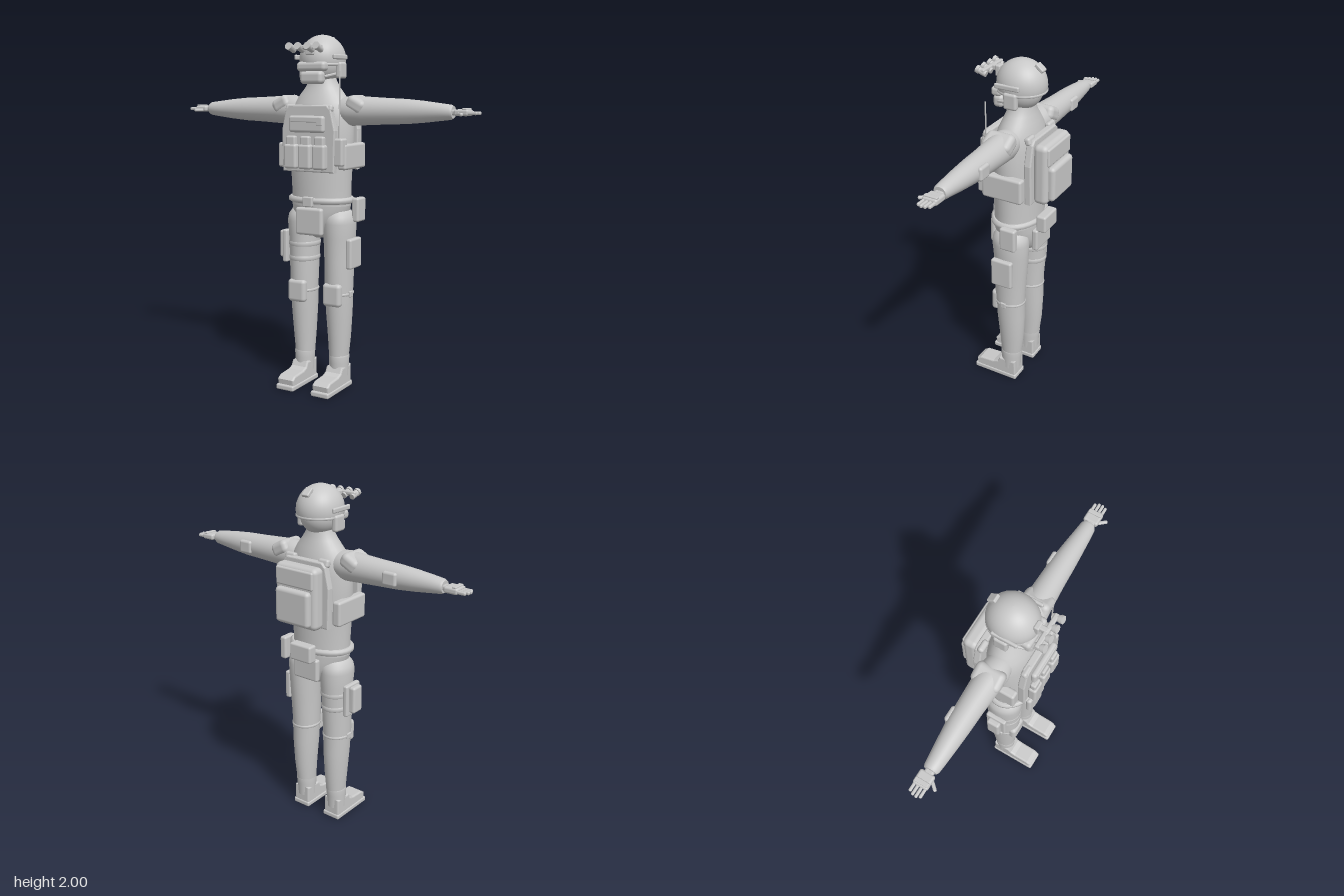
import * as THREE from 'three';
import { RoundedBoxGeometry } from 'three/addons/geometries/RoundedBoxGeometry.js';

const grey = new THREE.MeshStandardMaterial({ color: 0xc8c8c8 });
grey.name = 'plain grey';

// Closed elliptical loft; sections are [y, centreX, centreZ, radiusX, radiusZ], bottom to top
function loftGeometry(sections, sides = 32) {
  const pos = [], index = [];
  const flat = s => [s[0], s[1], s[2], 0, 0];
  const first = sections[0], last = sections[sections.length - 1];
  for (const strip of [[flat(first), first], sections, [last, flat(last)]]) {
    const base = pos.length / 3;
    strip.forEach(([y, cx, cz, rx, rz], i) => {
      for (let j = 0; j < sides; j++) {
        const a = (j / sides) * Math.PI * 2;
        pos.push(cx + rx * Math.cos(a), y, cz + rz * Math.sin(a));
        if (i === strip.length - 1) continue;
        const p = base + i * sides + j, q = base + i * sides + ((j + 1) % sides);
        index.push(p, p + sides, q, q, p + sides, q + sides);
      }
    });
  }
  const g = new THREE.BufferGeometry();
  g.setAttribute('position', new THREE.Float32BufferAttribute(pos, 3));
  g.setIndex(index);
  g.computeVertexNormals();
  return g;
}

export function createModel() {
  const model = new THREE.Group();
  const add = (name, geo, x = 0, y = 0, z = 0, rx = 0, ry = 0, rz = 0) => {
    const m = new THREE.Mesh(geo, grey);
    m.name = name;
    m.position.set(x, y, z);
    m.rotation.set(rx, ry, rz);
    model.add(m);
    return m;
  };
  const box = (name, w, h, d, x, y, z, r = 0.012, rx = 0, ry = 0, rz = 0) =>
    add(name, new RoundedBoxGeometry(w, h, d, 3, Math.min(r, w * 0.49, h * 0.49, d * 0.49)), x, y, z, rx, ry, rz);
  const loft = (name, sections) => add(name, loftGeometry(sections));
  // Rounded strap around a limb or the waist
  const band = (name, y, h, cx, cz, rx, rz, t = 0.008) => loft(name, [
    [y - h / 2, cx, cz, rx - t, rz - t], [y - h / 4, cx, cz, rx, rz],
    [y + h / 4, cx, cz, rx, rz], [y + h / 2, cx, cz, rx - t, rz - t]]);

  // Torso and pelvis
  loft('torso', [
    [1.06, 0, 0.025, 0.178, 0.13], [1.15, 0, 0.025, 0.178, 0.13], [1.27, 0, 0.025, 0.185, 0.132],
    [1.42, 0, 0.022, 0.194, 0.13], [1.53, 0, 0.02, 0.194, 0.125], [1.59, 0, 0.018, 0.183, 0.118],
    [1.63, 0, 0.015, 0.165, 0.108], [1.67, 0, 0.012, 0.138, 0.094], [1.71, 0, 0.01, 0.105, 0.08],
    [1.75, 0, 0.008, 0.08, 0.068], [1.8, 0, 0.008, 0.07, 0.064]]);
  loft('pelvis', [
    [0.87, 0, 0.02, 0.03, 0.05], [0.89, 0, 0.02, 0.07, 0.085], [0.93, 0, 0.02, 0.115, 0.112],
    [0.98, 0, 0.022, 0.15, 0.125], [1.03, 0, 0.025, 0.172, 0.13], [1.08, 0, 0.025, 0.18, 0.13]]);

  // Belt and belt pouches
  band('belt', 1.09, 0.034, 0, 0.025, 0.2, 0.147, 0.012);
  box('beltBuckle', 0.06, 0.055, 0.025, 0, 1.087, 0.173, 0.006);
  box('frontPouch', 0.172, 0.155, 0.035, 0, 0.975, 0.157, 0.016);
  box('hipPouch', 0.042, 0.135, 0.096, 0.214, 1.037, -0.022);
  box('rearPouch', 0.145, 0.1, 0.06, 0, 1.09, -0.145);
  box('rearPanel', 0.17, 0.13, 0.036, 0, 0.985, -0.113);

  // Vest plates, extruded from a tapered outline
  const outline = new THREE.Shape([
    [-0.155, 1.26], [0.155, 1.26], [0.16, 1.48], [0.135, 1.59], [0.115, 1.61],
    [-0.115, 1.61], [-0.135, 1.59], [-0.16, 1.48]].map(p => new THREE.Vector2(...p)));
  const plate = new THREE.ExtrudeGeometry(outline, {
    depth: 0.025, bevelSize: 0.008, bevelThickness: 0.008, bevelSegments: 3 });
  add('frontPlate', plate, 0, 0, 0.142);
  add('backPlate', plate, 0, 0, -0.125);

  // Chest pouches
  box('chestPouch', 0.222, 0.092, 0.035, 0.004, 1.515, 0.188, 0.016);
  box('chestPouchFlap', 0.19, 0.028, 0.01, 0.004, 1.54, 0.205, 0.004);
  box('chestPouchTab', 0.035, 0.045, 0.01, 0.09, 1.53, 0.205, 0.004);
  for (const x of [-0.09, 0, 0.09]) {
    box('magazinePouch', 0.078, 0.135, 0.05, x, 1.338, 0.197, 0.014);
    box('magazine', 0.058, 0.08, 0.035, x, 1.41, 0.196, 0.01);
  }
  box('radioPouch', 0.058, 0.15, 0.065, 0.182, 1.365, 0.137);
  add('antenna', new THREE.CylinderGeometry(0.004, 0.004, 0.37, 10), 0.174, 1.615, 0.13);

  // Backpack
  box('backpack', 0.28, 0.345, 0.085, 0, 1.427, -0.17, 0.03);
  box('backpackPocket', 0.23, 0.2, 0.05, 0, 1.375, -0.22, 0.022);
  box('backpackFlap', 0.25, 0.1, 0.024, 0, 1.533, -0.208, 0.01);

  // Helmet, head and face gear
  const head = add('head', new THREE.SphereGeometry(1, 32, 24), 0, 1.835, 0.008);
  head.scale.set(0.107, 0.105, 0.112);
  const dome = [];
  for (let i = 0; i <= 16; i++) {
    const a = -0.25 + (i / 16) * (Math.PI / 2 + 0.249);
    dome.push([1.865 + 0.135 * Math.sin(a), 0, 0.01, 0.127 * Math.cos(a), 0.138 * Math.cos(a)]);
  }
  loft('helmet', dome);
  band('helmetRim', 1.836, 0.016, 0, 0.01, 0.128, 0.139, 0.005);
  box('goggles', 0.18, 0.052, 0.06, 0, 1.825, 0.122, 0.02);
  box('faceMask', 0.14, 0.07, 0.06, 0, 1.765, 0.122, 0.022);
  box('helmetMount', 0.05, 0.06, 0.03, 0, 1.915, 0.145, 0.008);
  box('goggleArm', 0.03, 0.03, 0.06, 0, 1.925, 0.17, 0.008);
  box('goggleBridge', 0.2, 0.022, 0.026, 0, 1.927, 0.192, 0.008);
  for (const x of [-0.085, -0.03, 0.03, 0.085]) {
    const tilt = Math.PI / 2 - 0.35;
    add('nightTube', new THREE.CylinderGeometry(0.018, 0.016, 0.055, 18), x, 1.92, 0.2, tilt);
    add('nightLens', new THREE.CylinderGeometry(0.021, 0.021, 0.016, 18), x, 1.93, 0.224, tilt);
  }
  box('helmetCounterweight', 0.045, 0.02, 0.055, 0, 1.968, -0.098, 0.006, -0.7);

  for (const s of [-1, 1]) {
    // Helmet side gear
    box('earCup', 0.035, 0.09, 0.078, s * 0.118, 1.805, 0.012, 0.014);
    box('helmetRail', 0.018, 0.028, 0.145, s * 0.122, 1.877, 0.032, 0.008);
    box('chinStrap', 0.012, 0.014, 0.1, s * 0.09, 1.78, 0.07, 0.005, 0.2, s * -0.35);

    // Vest side gear
    box('sidePouch', 0.052, 0.14, 0.24, s * 0.191, 1.338, 0.02, 0.014);
    box('frontStrapPad', 0.07, 0.04, 0.035, s * 0.113, 1.6, 0.155, 0.014, -0.3);
    box('backStrapPad', 0.07, 0.045, 0.035, s * 0.113, 1.61, -0.1, 0.014, 0.3);

    // Arm
    const arm = loft('arm', [
      [0.13, 0, 0.015, 0.07, 0.07], [0.19, 0, 0.015, 0.083, 0.08], [0.27, 0, 0.012, 0.078, 0.076],
      [0.4, 0, 0.01, 0.071, 0.069], [0.52, 0, 0.01, 0.066, 0.064], [0.62, 0, 0.012, 0.057, 0.056],
      [0.72, 0, 0.014, 0.045, 0.047], [0.768, 0, 0.014, 0.039, 0.042], [0.78, 0, 0.014, 0.032, 0.035]]);
    arm.position.y = 1.586;
    arm.rotation.z = -s * Math.PI / 2;
    box('shoulderPad', 0.115, 0.082, 0.165, s * 0.238, 1.618, 0.012, 0.03, 0, 0, -s * 0.48);
    box('elbowPad', 0.085, 0.075, 0.03, s * 0.495, 1.586, -0.05, 0.014);

    // Hand
    box('wrist', 0.04, 0.03, 0.05, s * 0.79, 1.585, 0.014, 0.012);
    box('palm', 0.08, 0.034, 0.084, s * 0.832, 1.585, 0.012, 0.012);
    box('knuckleGuard', 0.025, 0.012, 0.076, s * 0.85, 1.603, 0.012, 0.005);
    for (let i = 0; i < 4; i++) {
      const length = [0.046, 0.056, 0.058, 0.05][i];
      box('finger', length + 0.02, 0.018, 0.016, s * (0.858 + length / 2), 1.583, -0.018 + i * 0.02, 0.007);
    }
    box('thumb', 0.055, 0.017, 0.018, s * 0.834, 1.577, 0.067, 0.007, 0, -s * 0.85);

    // Leg
    const c = s * 0.115;
    loft('leg', [
      [0.16, s * 0.113, 0.02, 0.054, 0.06], [0.3, c, 0.017, 0.064, 0.074], [0.45, c, 0.02, 0.074, 0.084],
      [0.6, c, 0.025, 0.079, 0.09], [0.75, c, 0.02, 0.082, 0.097], [0.88, c, 0.018, 0.087, 0.104],
      [0.96, c, 0.02, 0.093, 0.108], [1.0, s * 0.113, 0.02, 0.088, 0.102],
      [1.03, s * 0.11, 0.022, 0.068, 0.08], [1.045, s * 0.105, 0.022, 0.035, 0.045]]);
    band('kneeStrap', 0.558, 0.02, c, 0.023, 0.082, 0.091, 0.006);
    box('kneePad', 0.115, 0.132, 0.05, c, 0.557, 0.1, 0.022);
    box('kneeStrapBuckle', 0.014, 0.035, 0.035, s * 0.194, 0.558, 0.03, 0.005);

    // Boot: shaft, side profile foot and sole
    loft('bootShaft', [
      [0.07, c, 0.022, 0.054, 0.057], [0.15, c, 0.022, 0.056, 0.062],
      [0.185, c, 0.02, 0.058, 0.065], [0.195, c, 0.02, 0.054, 0.061]]);
    const profile = new THREE.Shape([
      [-0.02, 0.03], [0.225, 0.03], [0.23, 0.058], [0.21, 0.072],
      [0.12, 0.078], [0.085, 0.092], [0.07, 0.12], [-0.02, 0.12]].map(p => new THREE.Vector2(...p)));
    const foot = new THREE.ExtrudeGeometry(profile, {
      depth: 0.082, bevelSize: 0.01, bevelThickness: 0.012, bevelSegments: 4 });
    foot.translate(0, 0, -0.041);
    foot.rotateY(-Math.PI / 2);
    add('bootFoot', foot, c, 0, 0);
    box('bootSole', 0.116, 0.032, 0.285, c, 0.016, 0.107, 0.01);
  }

  // Thigh gear: pouch on the left leg, strapped holster on the right
  box('thighPouch', 0.036, 0.17, 0.13, 0.208, 0.795, 0.025, 0.012);
  band('thighStrapUpper', 0.83, 0.03, -0.115, 0.019, 0.089, 0.104, 0.005);
  band('thighStrapLower', 0.745, 0.03, -0.115, 0.02, 0.086, 0.101, 0.005);
  box('holsterPanel', 0.03, 0.19, 0.125, -0.212, 0.805, 0.025, 0.01);
  box('holster', 0.04, 0.16, 0.08, -0.242, 0.812, 0.025, 0.014);

  return model;
}
